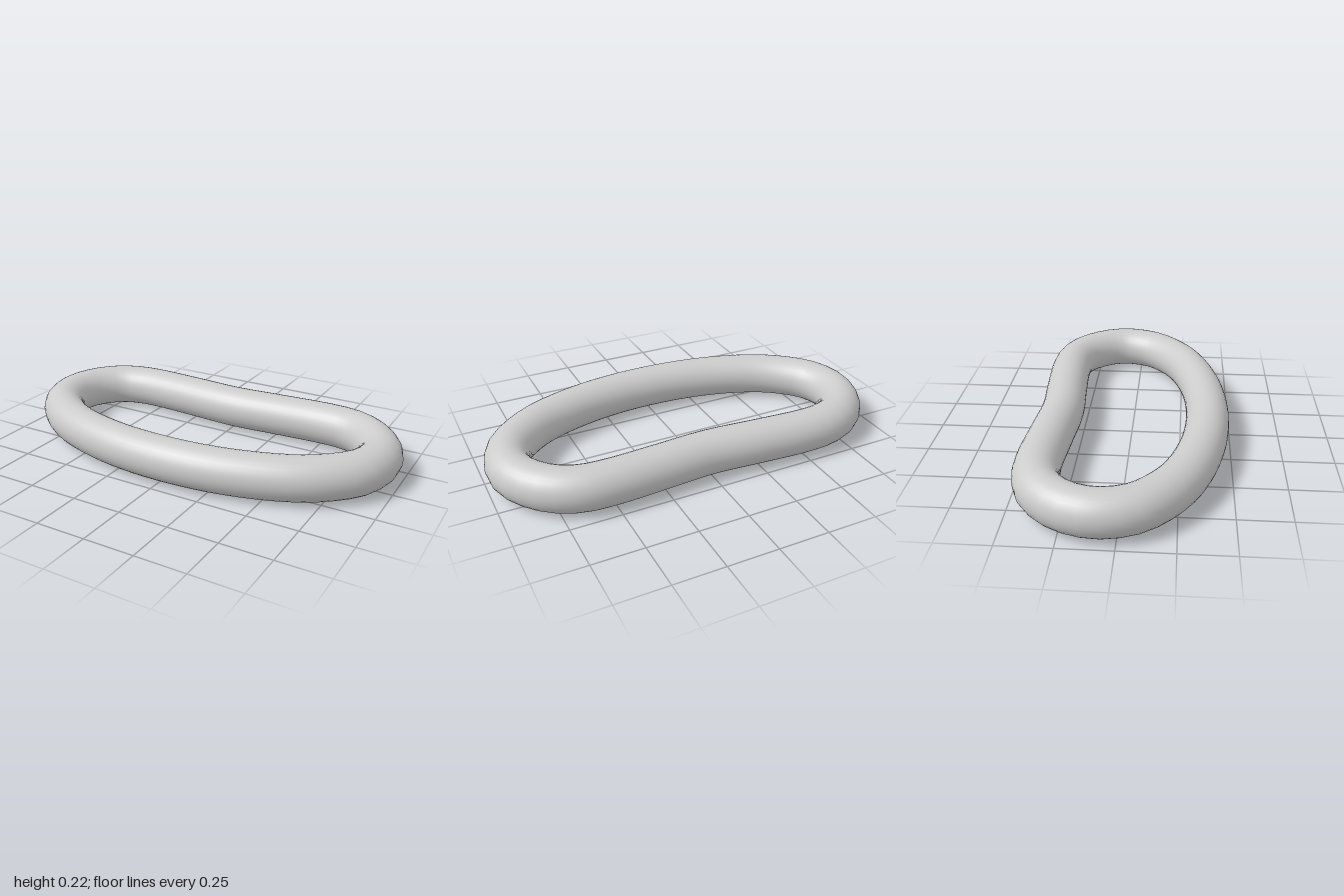
import * as THREE from 'three';

export function createModel() {
  const group = new THREE.Group();
  const radius = 0.108;

  // Centre line of the ring as [x, z], running once around the kidney-shaped loop
  const path = [
    [0, -0.358], [0.25, -0.373], [0.5, -0.386], [0.64, -0.376], [0.745, -0.332],
    [0.83, -0.25], [0.88, -0.16], [0.892, -0.07], [0.855, 0.06], [0.77, 0.16],
    [0.62, 0.262], [0.33, 0.354], [0, 0.385], [-0.33, 0.354], [-0.62, 0.262],
    [-0.77, 0.16], [-0.855, 0.06], [-0.892, -0.07], [-0.877, -0.175],
    [-0.827, -0.27], [-0.74, -0.348], [-0.64, -0.382], [-0.52, -0.391], [-0.25, -0.375],
  ].map(([x, z]) => new THREE.Vector3(x, radius, z));
  const curve = new THREE.CatmullRomCurve3(path, true, 'centripetal');

  // Round bent ring
  const ring = new THREE.Mesh(
    new THREE.TubeGeometry(curve, 64, radius, 32, true),
    new THREE.MeshStandardMaterial({ color: 0xcccccc })
  );
  ring.name = 'bentRing';
  group.add(ring);
  return group;
}
